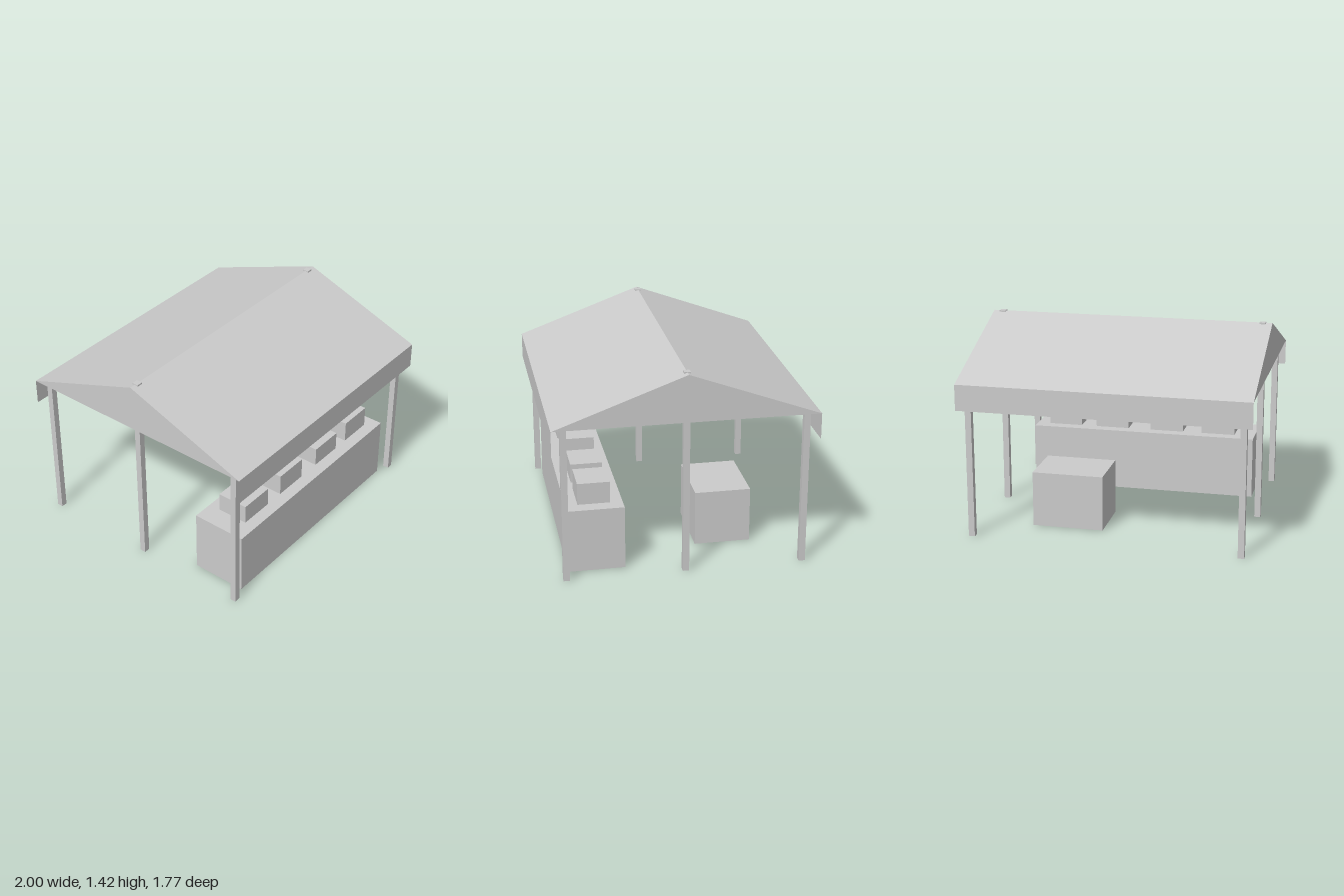
import * as THREE from 'three';

const EAVE = 1.09, RIDGE = 1.415, HALF_X = 1, HALF_Z = 0.887, VALANCE = 0.18;

const solid = new THREE.MeshStandardMaterial({ color: 0xcccccc });
const canvas = new THREE.MeshStandardMaterial({ color: 0xcccccc, side: THREE.DoubleSide });

function add(parent, name, geometry, material, x, y, z) {
  const mesh = new THREE.Mesh(geometry, material);
  mesh.name = name;
  mesh.position.set(x, y, z);
  parent.add(mesh);
  return mesh;
}

// Box given by its x range, y range and z range
function box(parent, name, [x0, x1], [y0, y1], [z0, z1]) {
  return add(parent, name, new THREE.BoxGeometry(x1 - x0, y1 - y0, z1 - z0), solid,
    (x0 + x1) / 2, (y0 + y1) / 2, (z0 + z1) / 2);
}

function createCanopy() {
  const canopy = new THREE.Group();
  canopy.name = 'canopy';
  const rise = RIDGE - EAVE;
  const slope = new THREE.PlaneGeometry(2 * HALF_X, Math.hypot(HALF_Z, rise));
  const skirt = new THREE.PlaneGeometry(2 * HALF_X, VALANCE);
  const triangle = new THREE.ShapeGeometry(new THREE.Shape([
    new THREE.Vector2(-HALF_Z, 0), new THREE.Vector2(HALF_Z, 0), new THREE.Vector2(0, rise),
  ]));

  // Front half, then the same turned round for the back half
  for (const side of ['front', 'back']) {
    const half = new THREE.Group();
    half.name = side + 'CanopyHalf';
    half.rotation.y = side === 'front' ? 0 : Math.PI;
    const roof = add(half, side + 'RoofSlope', slope, canvas, 0, (EAVE + RIDGE) / 2, HALF_Z / 2);
    roof.rotation.x = -Math.atan2(HALF_Z, rise);
    add(half, side + 'Valance', skirt, canvas, 0, EAVE - VALANCE / 2, HALF_Z);
    const gable = add(half, side === 'front' ? 'rightGable' : 'leftGable', triangle, canvas, HALF_X, EAVE, 0);
    gable.rotation.y = Math.PI / 2;
    canopy.add(half);
  }
  return canopy;
}

function createPoles() {
  const poles = new THREE.Group();
  poles.name = 'poles';
  const r = 0.0215;
  for (const x of [-0.933, 0.933]) {
    for (const z of [-0.805, 0, 0.805]) {
      // The middle poles carry the ridge, the corner poles stop at the eaves
      const top = z === 0 ? RIDGE + 0.003 : EAVE + 0.01;
      box(poles, z === 0 ? 'ridgePole' : 'cornerPole', [x - r, x + r], [0, top], [z - r, z + r]);
    }
  }
  return poles;
}

export function createModel() {
  const stall = new THREE.Group();
  stall.name = 'marketStall';
  stall.add(createCanopy(), createPoles());

  // Sales counter with a row of goods boxes
  box(stall, 'counter', [-0.833, 0.83], [0, 0.446], [0.392, 0.782]);
  [[-0.685, 0.58], [-0.295, 0.597], [0.122, 0.58], [0.487, 0.597]].forEach(([x, top]) =>
    box(stall, 'goodsBox', [x, x + 0.249], [0.446, top], [0.476, 0.697]));

  // Storage crate behind the counter
  box(stall, 'storageCrate', [0.08, 0.58], [0, 0.39], [-0.527, -0.138]);
  return stall;
}
